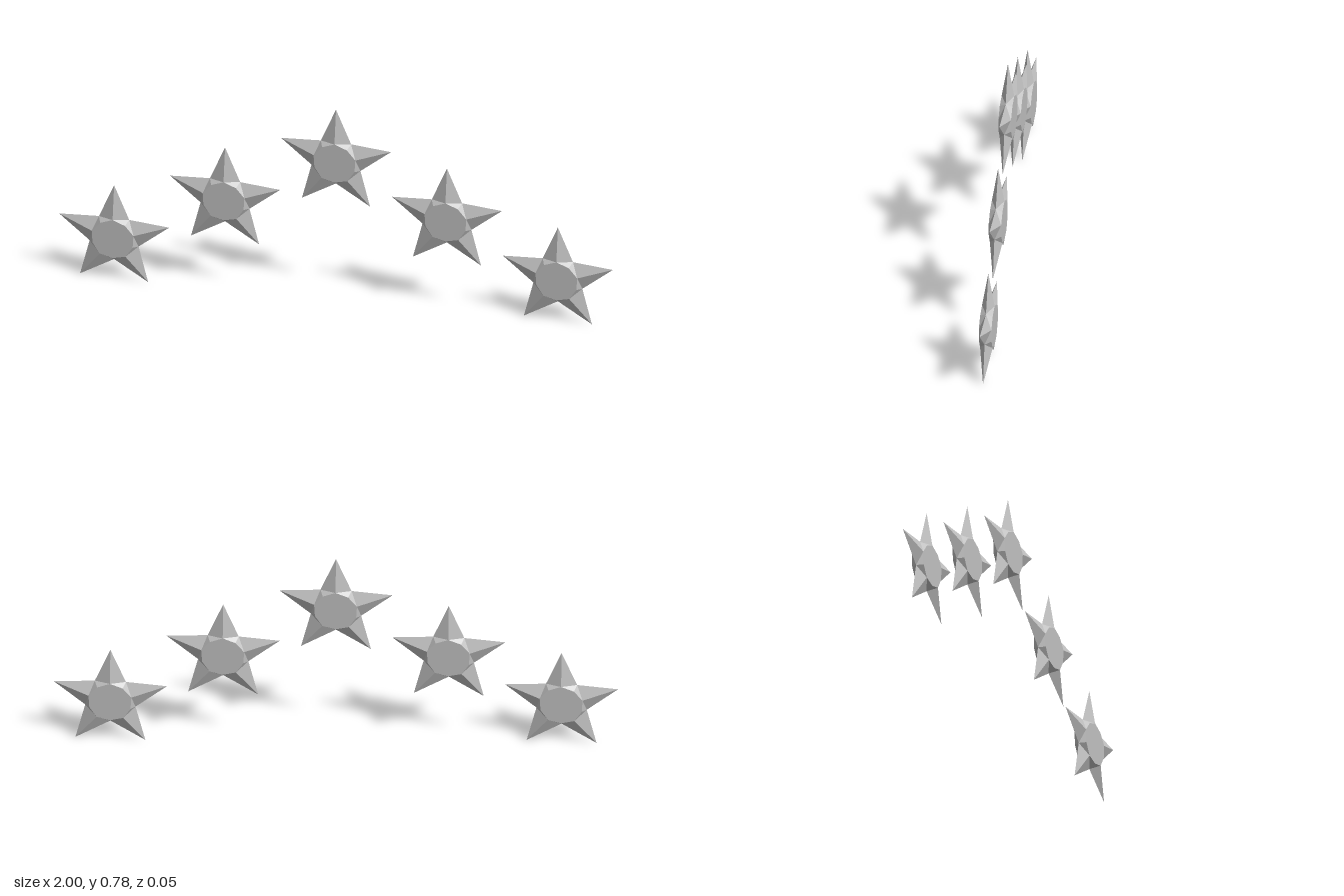
import * as THREE from 'three';

const TIP = 0.2115, VALLEY = 0.094;          // outline radii
const FLAT_RIDGE = 0.08, FLAT_VALLEY = 0.077; // flat face radii
const HALF = 0.0225;                          // half thickness

// Faceted star: thin outline rising to a flat face on both sides
function starGeometry() {
  const pos = [];
  const point = (k, tipR, valleyR, z) => {
    const a = Math.PI / 2 + k * Math.PI / 5;
    const r = k % 2 === 0 ? tipR : valleyR;
    return [r * Math.cos(a), r * Math.sin(a), z];
  };
  for (const side of [1, -1]) {
    const tri = (a, b, c) => pos.push(...(side > 0 ? [a, b, c] : [a, c, b]).flat());
    const outer = k => point(k, TIP, VALLEY, 0);
    const flat = k => point(k, FLAT_RIDGE, FLAT_VALLEY, side * HALF);
    for (let k = 0; k < 10; k++) {
      const a = outer(k), b = outer(k + 1), c = flat(k + 1), d = flat(k);
      // split each quad from the valley to the ridge corner
      if (k % 2 === 0) { tri(a, b, d); tri(b, c, d); }
      else { tri(a, b, c); tri(a, c, d); }
      tri(d, c, [0, 0, side * HALF]);
    }
  }
  const geo = new THREE.BufferGeometry();
  geo.setAttribute('position', new THREE.Float32BufferAttribute(pos, 3));
  geo.computeVertexNormals();
  return geo;
}

export function createModel() {
  const group = new THREE.Group();
  group.name = 'starArch';
  const grey = new THREE.MeshStandardMaterial({ color: 0xc0c0c0, flatShading: true });
  grey.name = 'grey';
  const geo = starGeometry();

  // Five stars rising to the middle, each turned slightly
  for (let i = -2; i <= 2; i++) {
    const star = new THREE.Mesh(geo, grey);
    star.name = 'star' + (i + 3);
    star.position.set(i * 0.3995, 0.173 + 0.2 * (2 - Math.abs(i)), 0);
    star.rotation.y = -0.065;
    group.add(star);
  }
  return group;
}
